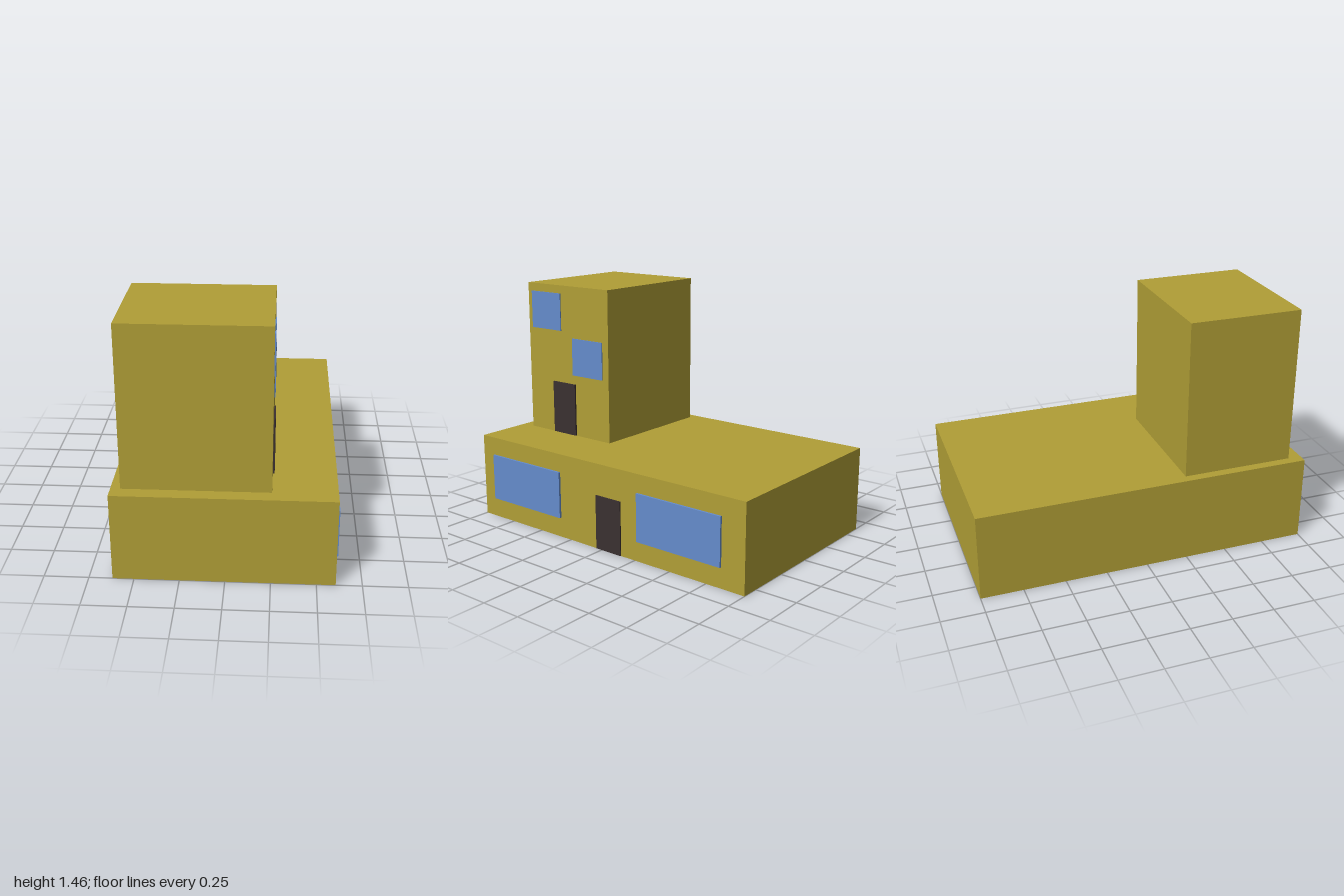
import * as THREE from 'three';

const wall = new THREE.MeshStandardMaterial({ color: 0xb09e36 });
const glass = new THREE.MeshStandardMaterial({ color: 0x658ccb });
const wood = new THREE.MeshStandardMaterial({ color: 0x3a3030 });

// Box given by its extents along each axis
function block(name, material, [x0, x1], [y0, y1], [z0, z1]) {
  const mesh = new THREE.Mesh(new THREE.BoxGeometry(x1 - x0, y1 - y0, z1 - z0), material);
  mesh.position.set((x0 + x1) / 2, (y0 + y1) / 2, (z0 + z1) / 2);
  mesh.name = name;
  return mesh;
}

export function createModel() {
  const model = new THREE.Group();
  model.name = 'building';

  // Long ground floor with the tower standing on its roof
  model.add(block('groundFloor', wall, [-0.619, 0.605], [0, 0.52], [-1, 1]));
  model.add(block('tower', wall, [-0.565, 0.25], [0.52, 1.46], [0.25, 0.92]));

  // Ground floor door and wide windows
  const groundWall = 0.595;
  model.add(block('groundDoor', wood, [groundWall, 0.612], [0.002, 0.33], [-0.148, 0.038]));
  model.add(block('groundWindowFront', glass, [groundWall, 0.618], [0.122, 0.409], [0.327, 0.903]));
  model.add(block('groundWindowBack', glass, [groundWall, 0.618], [0.122, 0.409], [-0.849, -0.273]));

  // Tower door and staggered windows
  const towerWall = 0.24;
  model.add(block('towerDoor', wood, [towerWall, 0.26], [0.522, 0.85], [0.526, 0.712]));
  model.add(block('towerWindowUpper', glass, [towerWall, 0.256], [1.178, 1.41], [0.64, 0.887]));
  model.add(block('towerWindowLower', glass, [towerWall, 0.256], [0.908, 1.14], [0.298, 0.545]));

  return model;
}
